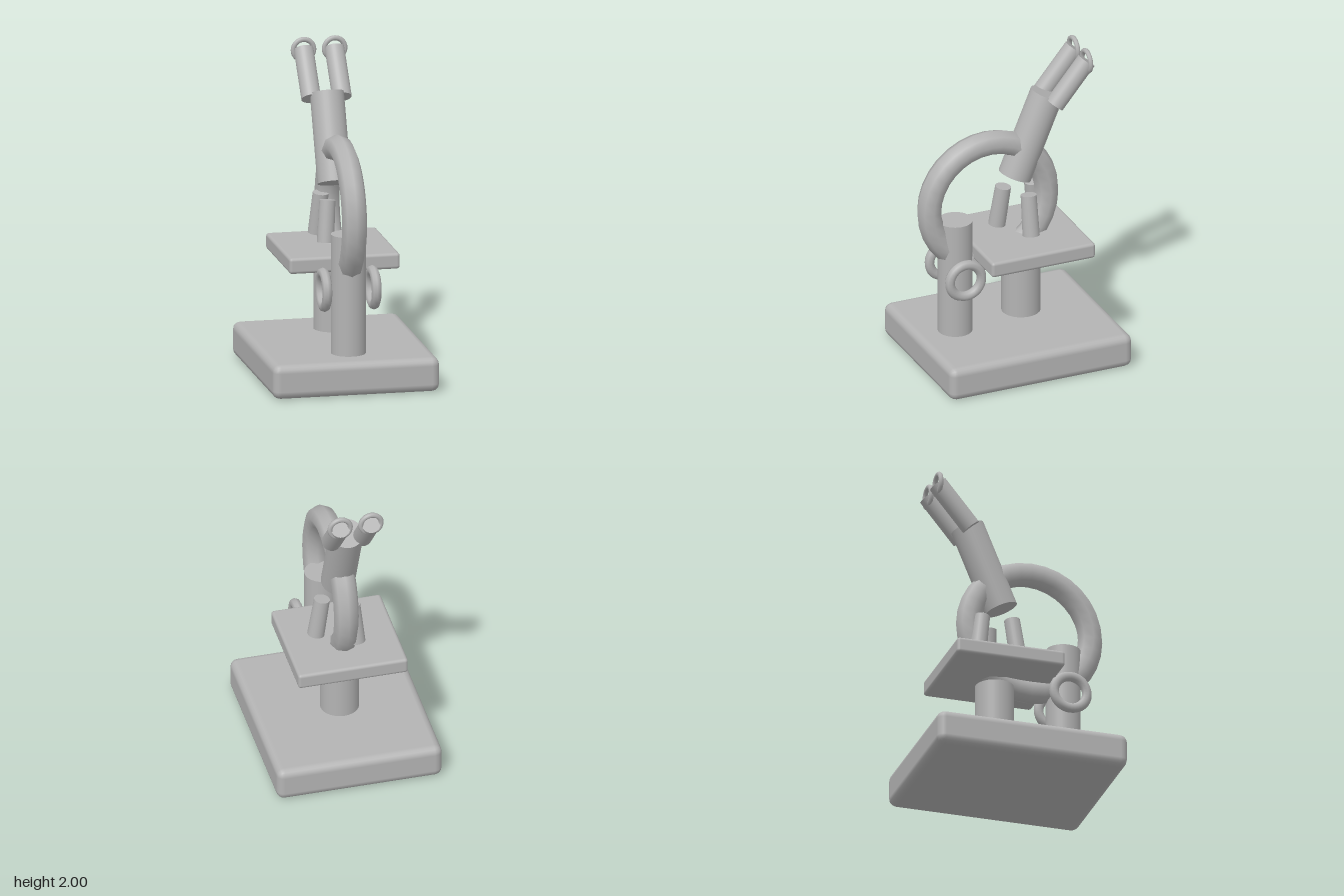
import * as THREE from 'three';
import { RoundedBoxGeometry } from 'three/addons/geometries/RoundedBoxGeometry.js';

export function createModel() {
  const model = new THREE.Group();
  model.name = 'microscope';
  const grey = new THREE.MeshStandardMaterial({ color: 0xb3b3b3 });
  grey.name = 'grey';

  const add = (name, geometry, x, y, z, parent = model) => {
    const mesh = new THREE.Mesh(geometry, grey);
    mesh.name = name;
    mesh.position.set(x, y, z);
    parent.add(mesh);
    return mesh;
  };
  const rod = (radius, length) => new THREE.CylinderGeometry(radius, radius, length, 32);

  // Base, column and stage
  add('base', new RoundedBoxGeometry(1.04, 0.215, 1.215, 2, 0.05), 0, 0.1075, 0);
  add('column', rod(0.107, 0.76), 0, 0.58, 0.352);
  add('stage', new RoundedBoxGeometry(0.69, 0.1, 0.69, 2, 0.02), 0, 0.748, -0.088);
  add('condenser', rod(0.12, 0.39), 0, 0.46, -0.086);

  // Ring-shaped arm standing in the side plane
  add('arm', new THREE.TorusGeometry(0.39, 0.078, 8, 32), 0, 1.05, 0.135).rotation.y = Math.PI / 2;

  // Tilted body tube
  add('bodyTube', rod(0.104, 0.56), 0, 1.443, -0.152).rotation.x = -0.394;

  // Focus knobs, eyepieces and eye rings, one on each side
  for (const [side, s] of [['left', 1], ['right', -1]]) {
    add(side + 'FocusKnob', new THREE.TorusGeometry(0.105, 0.031, 8, 32), s * 0.154, 0.617, 0.35)
      .rotation.y = Math.PI / 2;
    add(side + 'Eyepiece', rod(0.06, 0.335), s * 0.096, 1.793, -0.374).rotation.x = -0.69;
    add(side + 'EyeRing', new THREE.TorusGeometry(0.064, 0.016, 8, 32), s * 0.097, 1.92, -0.48);
  }

  // Three objectives splayed outwards around the optical axis
  for (let i = 0; i < 3; i++) {
    const turn = new THREE.Group();
    turn.name = 'objectiveMount' + (i + 1);
    turn.position.set(0, 0.965, -0.088);
    turn.rotation.y = (i * Math.PI * 2) / 3;
    model.add(turn);
    add('objective', new THREE.CylinderGeometry(0.049, 0.053, 0.26, 24), 0.13, 0, 0, turn).rotation.z = 0.15;
  }
  return model;
}
